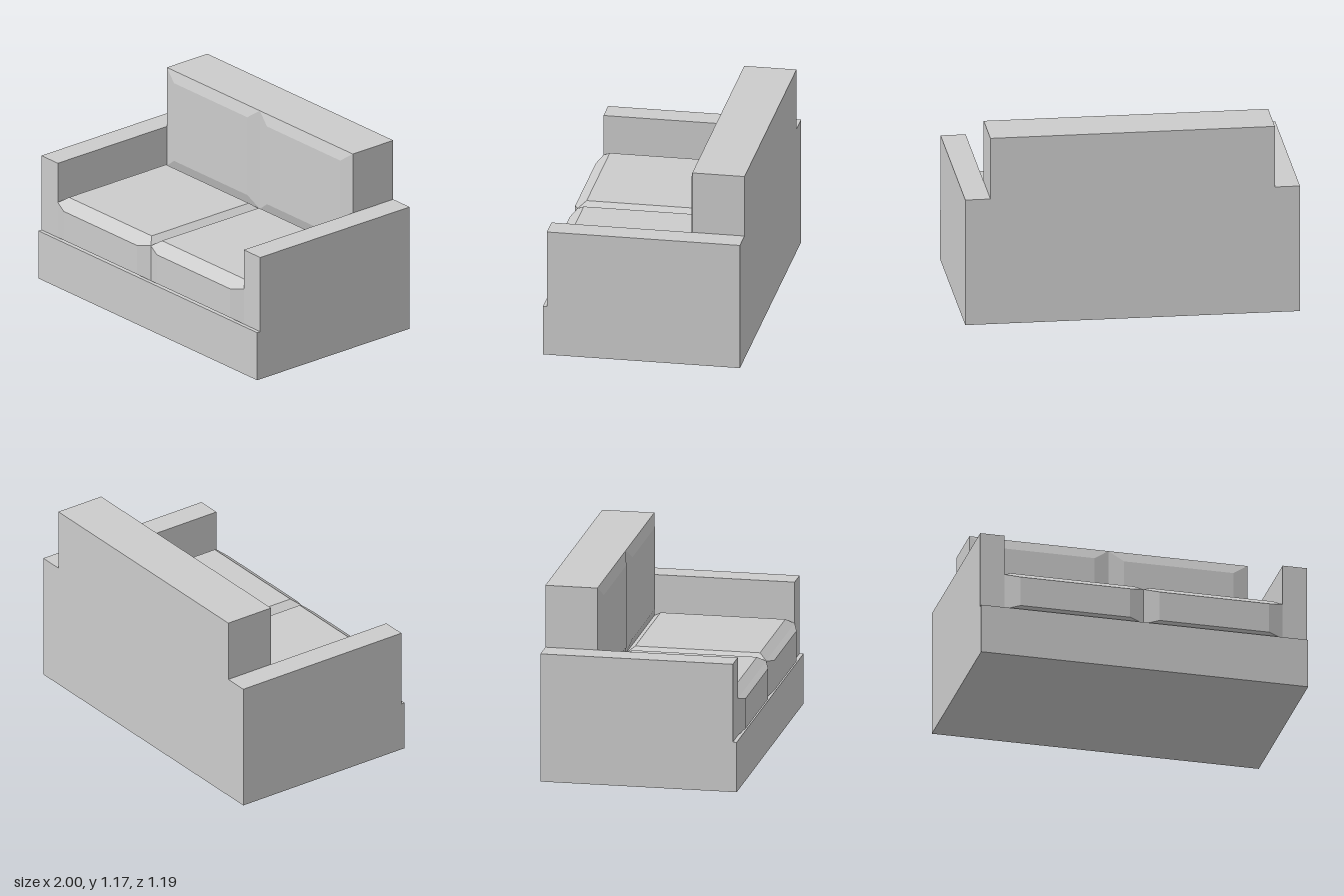
import * as THREE from 'three';

const material = new THREE.MeshStandardMaterial({ color: 0xcccccc, flatShading: true });

// Box given by its min and max corners
function block(name, [x0, y0, z0], [x1, y1, z1]) {
  const mesh = new THREE.Mesh(new THREE.BoxGeometry(x1 - x0, y1 - y0, z1 - z0), material);
  mesh.position.set((x0 + x1) / 2, (y0 + y1) / 2, (z0 + z1) / 2);
  mesh.name = name;
  return mesh;
}

// Bevelled pad: back rectangle on z = 0, smaller front rectangle at z = depth
function pad(name, width, height, depth, insetX, insetY) {
  const geo = new THREE.BoxGeometry(width, height, depth).translate(0, 0, depth / 2);
  const p = geo.attributes.position;
  for (let i = 0; i < p.count; i++) {
    if (p.getZ(i) < depth / 2) continue;
    p.setX(i, p.getX(i) - Math.sign(p.getX(i)) * insetX);
    p.setY(i, p.getY(i) - Math.sign(p.getY(i)) * insetY);
  }
  geo.computeVertexNormals();
  const mesh = new THREE.Mesh(geo, material);
  mesh.name = name;
  return mesh;
}

export function createModel() {
  const sofa = new THREE.Group();
  sofa.name = 'sofa';

  const inner = 0.85, rear = -0.597;
  const baseTop = 0.307, seatTop = 0.533, armTop = 0.786, backTop = 1.167;
  const seatFront = 0.567, backFront = -0.282;

  // Frame
  sofa.add(
    block('base', [-1, 0, rear], [1, baseTop, 0.591]),
    block('seat', [-inner, baseTop, backFront], [inner, seatTop, seatFront]),
    block('backrest', [-inner, baseTop, rear], [inner, backTop, backFront])
  );

  for (const [side, s] of [['left', 1], ['right', -1]]) {
    // Armrests
    const edges = [s * inner, s].sort((a, b) => a - b);
    sofa.add(block(side + 'Arm', [edges[0], baseTop, rear], [edges[1], armTop, seatFront]));

    // Cushions: seat top, seat front and backrest
    const x = s * inner / 2;
    const top = pad(side + 'SeatCushionTop', inner, seatFront - backFront, 0.035, 0.047, 0.047);
    top.rotation.x = -Math.PI / 2;
    top.position.set(x, seatTop, (seatFront + backFront) / 2);

    const front = pad(side + 'SeatCushionFront', inner, seatTop - baseTop, 0.03, 0.09, 0.02);
    front.position.set(x, (seatTop + baseTop) / 2, seatFront);

    const back = pad(side + 'BackCushion', inner, backTop - seatTop, 0.021, 0.09, 0.066);
    back.position.set(x, (backTop + seatTop) / 2, backFront);

    sofa.add(top, front, back);
  }
  return sofa;
}
